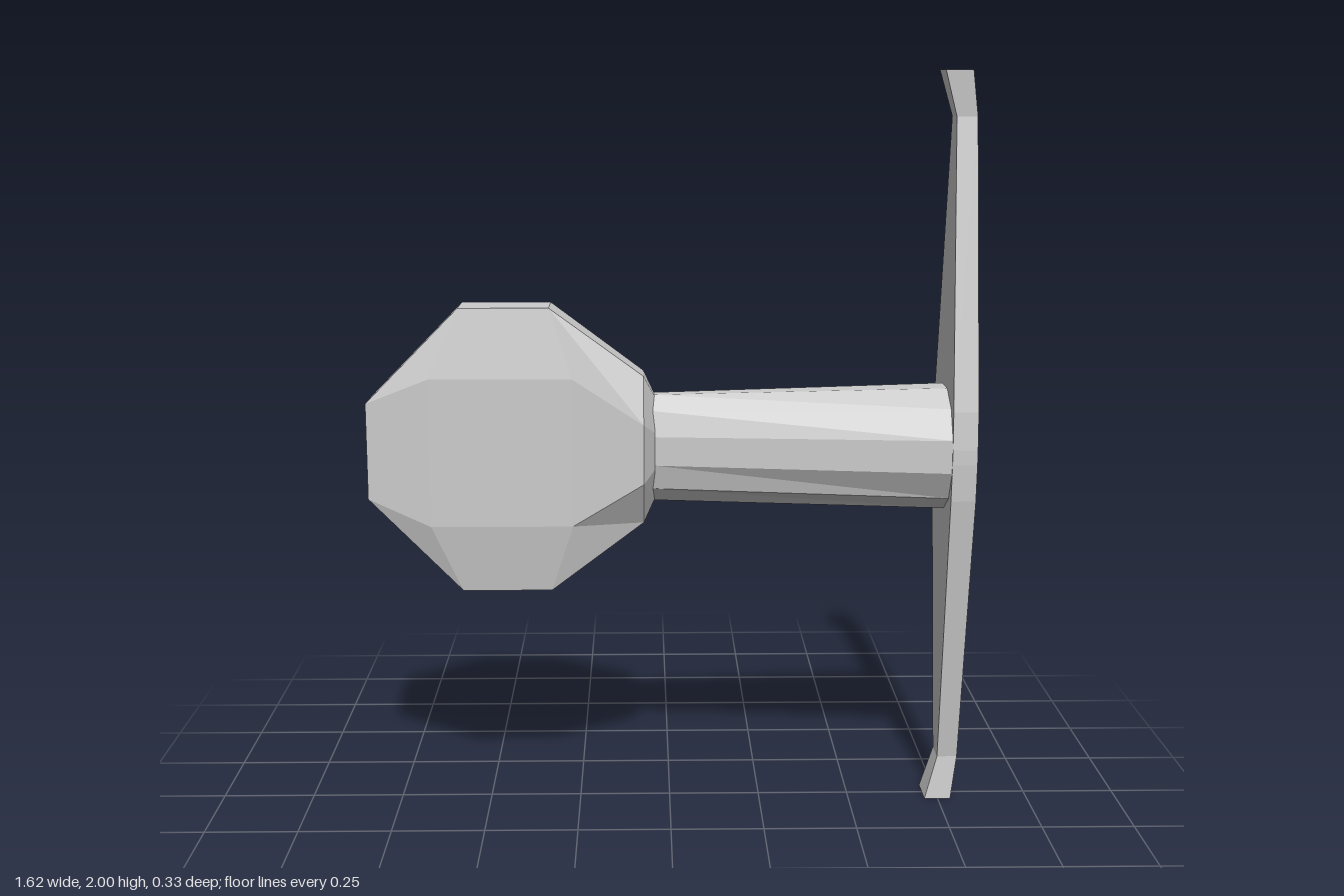
import * as THREE from 'three';

const material = new THREE.MeshStandardMaterial({ color: 0xcccccc, flatShading: true });

// Skins a row of equal-length rings (counterclockwise seen from the far end) and caps both ends.
function loft(name, rings) {
  const pos = [];
  const tri = (a, b, c) => pos.push(...a, ...b, ...c);
  const n = rings[0].length;
  for (let i = 0; i < rings.length - 1; i++) {
    for (let j = 0; j < n; j++) {
      const k = (j + 1) % n;
      const a = rings[i][j], b = rings[i][k], c = rings[i + 1][k], d = rings[i + 1][j];
      tri(a, b, c);
      tri(a, c, d);
    }
  }
  const first = rings[0], last = rings[rings.length - 1];
  for (let j = 1; j < n - 1; j++) {
    tri(first[0], first[j + 1], first[j]);
    tri(last[0], last[j], last[j + 1]);
  }
  const geometry = new THREE.BufferGeometry();
  geometry.setAttribute('position', new THREE.Float32BufferAttribute(pos, 3));
  geometry.computeVertexNormals();
  const mesh = new THREE.Mesh(geometry, material);
  mesh.name = name;
  return mesh;
}

// Eight-point ring around the x axis, mirrored from one rim point and one raised face point.
function headRing([rim, face]) {
  const [rx, ry, rz] = rim, [fx, fy, fz] = face;
  return [
    [rx, ry, -rz], [rx, ry, rz], [fx, fy, fz], [fx, -fy, fz],
    [rx, -ry, rz], [rx, -ry, -rz], [fx, -fy, -fz], [fx, fy, -fz],
  ];
}

// Twelve-sided elliptical ring around the x axis.
function shaftRing(x, ry, rz) {
  return Array.from({ length: 12 }, (_, i) => {
    const a = ((i + 0.5) / 12) * Math.PI * 2;
    return [x, (ry * Math.cos(a)) / Math.cos(Math.PI / 12), rz * Math.sin(a) / Math.cos(Math.PI / 12)];
  });
}

export function createModel() {
  const group = new THREE.Group();
  group.name = 'toggle';

  // Faceted flat head, narrowing into the neck
  group.add(loft('head', [
    [[-0.81, 0.13, 0.065], [-0.81, 0.13, 0.065]],
    [[-0.56, 0.385, 0.065], [-0.64, 0.2, 0.095]],
    [[-0.32, 0.385, 0.065], [-0.26, 0.2, 0.095]],
    [[-0.07, 0.2, 0.05], [-0.07, 0.08, 0.12]],
    [[-0.04, 0.14, 0.02], [-0.04, 0.05, 0.07]],
  ].map(headRing)));

  // Shaft flaring from the neck to the cross plate
  group.add(loft('shaft', [shaftRing(-0.045, 0.145, 0.07), shaftRing(0.75, 0.165, 0.163)]));

  // Long tapered cross plate with bent tips: height from centre, inner x, outer x, half width
  const half = [
    [0.02, 0.742, 0.808, 0.166],
    [0.12, 0.742, 0.808, 0.159],
    [0.88, 0.747, 0.802, 0.037],
    [1, 0.713, 0.785, 0.05],
  ];
  const plateRing = ([y, x0, x1, w]) => [[x0, y, -w], [x0, y, w], [x1, y, w], [x1, y, -w]];
  const lower = half.map(([y, ...rest]) => [-y, ...rest]).reverse();
  group.add(loft('crossPlate', [...lower, ...half].map(plateRing)));

  // Raise every part so the plate stands on the ground
  for (const part of group.children) part.position.y = 1;
  return group;
}
